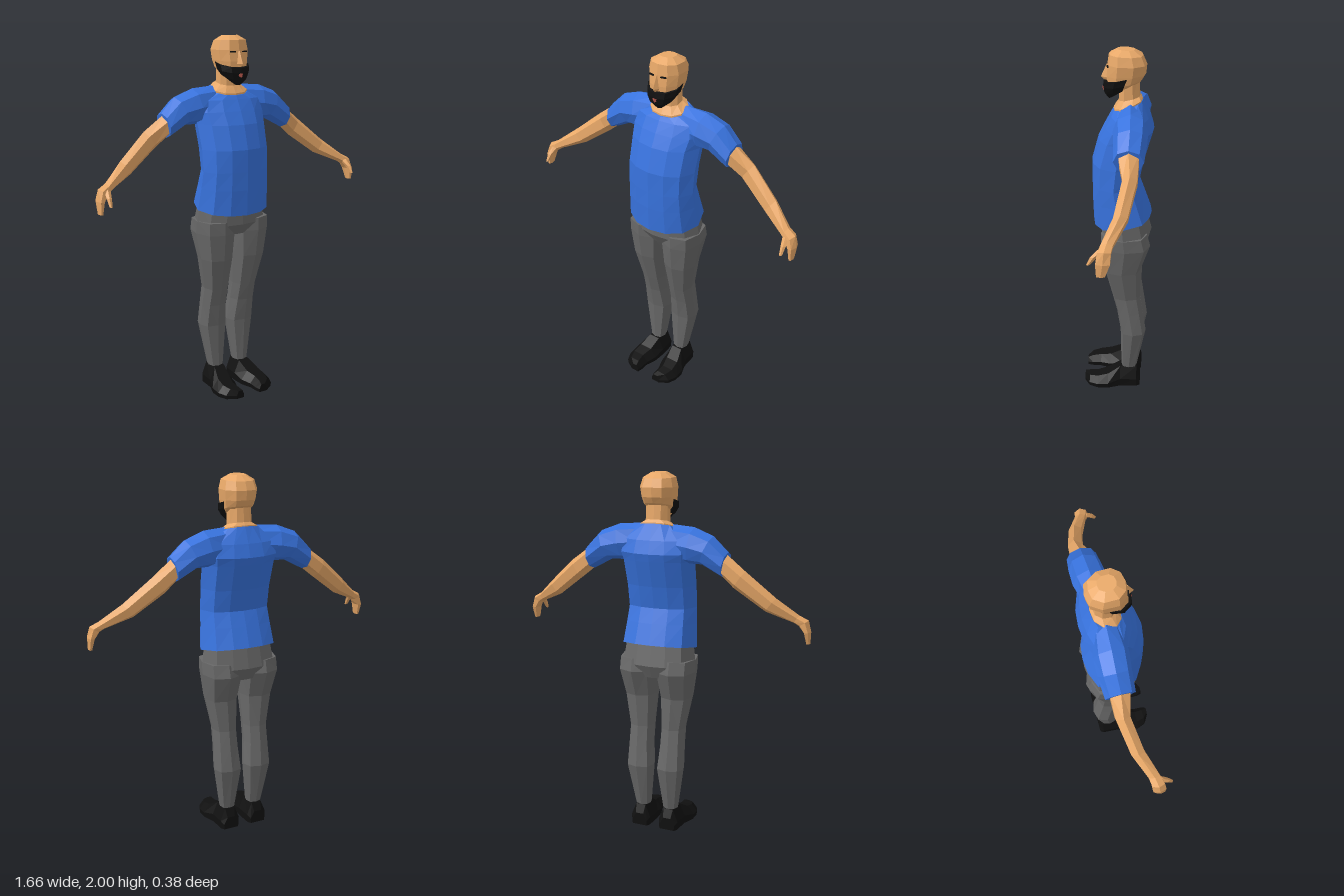
import * as THREE from 'three';

const mat = (color) => new THREE.MeshStandardMaterial({ color, flatShading: true });

// Closed skin through equal-sized rings of [x, y, z], capped at both ends and facing outward.
function loft(rings) {
  const n = rings[0].length, pts = rings.flat(), tris = [];
  rings.slice(1).forEach((_, r) => {
    for (let i = 0; i < n; i++) {
      const a = r * n + i, b = r * n + (i + 1) % n;
      tris.push([a, b, b + n], [a, b + n, a + n]);
    }
  });
  [[0, true], [rings.length - 1, false]].forEach(([r, first]) => {
    const mid = [0, 1, 2].map((k) => rings[r].reduce((s, p) => s + p[k], 0) / n);
    const c = pts.push(mid) - 1;
    for (let i = 0; i < n; i++) {
      const a = r * n + i, b = r * n + (i + 1) % n;
      tris.push(first ? [c, b, a] : [c, a, b]);
    }
  });
  const v = pts.map((p) => new THREE.Vector3(...p));
  const volume = tris.reduce((s, [a, b, c]) => s + v[a].dot(v[b].clone().cross(v[c])), 0);
  if (volume < 0) tris.forEach((t) => t.reverse());
  const indexed = new THREE.BufferGeometry().setFromPoints(v);
  indexed.setIndex(tris.flat());
  const geo = indexed.toNonIndexed();
  geo.computeVertexNormals();
  return geo;
}

// Half outlines as [share of width, share of depth from front to back].
const TORSO = [[0, 0], [0.45, 0.05], [0.82, 0.2], [1, 0.5], [0.8, 0.86], [0.4, 0.97], [0, 1]];
const HEAD = [[0, 0], [0.6, 0.06], [1, 0.28], [1, 0.68], [0.6, 0.95], [0, 1]];
const BEARD = [[0, 0], [0.6, 0.1], [1, 0.5], [0.95, 1], [0, 1]];

// Mirrored level ring; front and back may differ in height.
function bodyRing(outline, [yFront, yBack, w, zFront, zBack]) {
  const half = outline.map(([fx, t]) => [
    fx * w, yFront + (yBack - yFront) * t, zFront + (zBack - zFront) * t]);
  return [...half, ...half.slice(1, -1).reverse().map(([x, y, z]) => [-x, y, z])];
}
const body = (outline, rows) => loft(rows.map((r) => bodyRing(outline, r)));

// Limb ring around a centre: a = half thickness, b = half depth, tilt = downward slope.
function limbRing(sides, [x, y, z, a, b, tilt]) {
  return Array.from({ length: sides }, (_, i) => {
    const q = (i / sides) * Math.PI * 2, u = Math.cos(q) * a;
    return [x + u * Math.sin(tilt), y + u * Math.cos(tilt), z + Math.sin(q) * b];
  });
}

// Level leg ring from inner and outer x and front and back z.
function legRing([y, xIn, xOut, zFront, zBack]) {
  const cx = (xIn + xOut) / 2, cz = (zFront + zBack) / 2;
  return Array.from({ length: 8 }, (_, i) => {
    const q = (i / 8) * Math.PI * 2, k = i % 2 ? 1.08 : 1;
    return [cx + Math.cos(q) * k * (xOut - xIn) / 2, y, cz + Math.sin(q) * k * (zFront - zBack) / 2];
  });
}

// Upright shoe section at depth z.
const shoeRing = ([z, x, w, h]) =>
  [[-0.95, 0], [-1, 0.4], [-0.5, 1], [0.5, 1], [1, 0.4], [0.95, 0]].map(([fx, fy]) => [x + fx * w, h * fy, z]);

export function createModel() {
  const model = new THREE.Group();
  const skin = mat(0xe8a868), shirt = mat(0x3873de), trousers = mat(0x686868);
  const black = mat(0x101010), lips = mat(0xb9584c);
  const add = (name, geo, material) => {
    const mesh = new THREE.Mesh(geo, material);
    mesh.name = name;
    model.add(mesh);
    return mesh;
  };
  const pair = (name, rings, material) => {
    add(name + 'Left', loft(rings), material);
    add(name + 'Right', loft(rings.map((r) => r.map(([x, y, z]) => [-x, y, z]))), material);
  };

  // Shirt
  add('shirtBody', body(TORSO, [
    [1.04, 1.09, 0.215, 0.135, -0.185],
    [1.18, 1.2, 0.205, 0.14, -0.145],
    [1.28, 1.28, 0.2, 0.14, -0.115],
    [1.4, 1.4, 0.2, 0.14, -0.14],
    [1.53, 1.54, 0.205, 0.105, -0.18],
    [1.6, 1.58, 0.215, 0.072, -0.19],
    [1.66, 1.65, 0.2, 0.04, -0.168],
    [1.68, 1.735, 0.11, 0.028, -0.13],
  ]), shirt);
  pair('sleeve', [
    [0.09, 1.635, -0.07, 0.095, 0.07, 0],
    [0.2, 1.625, -0.075, 0.097, 0.09, 0.15],
    [0.29, 1.605, -0.08, 0.082, 0.085, 0.4],
    [0.388, 1.535, -0.077, 0.067, 0.077, 0.2],
  ].map((s) => limbRing(8, s)), shirt);

  // Arms, hands and thumbs
  pair('arm', [
    [0.36, 1.55, -0.075, 0.055, 0.062, 0.35],
    [0.47, 1.465, -0.09, 0.055, 0.042, 0.6],
    [0.63, 1.34, -0.055, 0.046, 0.04, 0.65],
    [0.755, 1.265, 0, 0.025, 0.034, 0.6],
    [0.79, 1.245, 0.01, 0.031, 0.037, 1],
    [0.81, 1.2, 0.015, 0.02, 0.04, 1.5],
    [0.815, 1.135, 0.025, 0.011, 0.024, 1.5],
  ].map((s) => limbRing(6, s)), skin);
  pair('thumb', [
    [0.772, 1.255, 0.02, 0.018, 0.022, 1.2],
    [0.782, 1.22, 0.06, 0.014, 0.017, 1.4],
    [0.785, 1.18, 0.087, 0.008, 0.009, 1.5],
  ].map((s) => limbRing(5, s)), skin);

  // Trousers
  add('hips', body(TORSO, [
    [1.1, 1.12, 0.195, 0.09, -0.145],
    [0.98, 0.97, 0.215, 0.095, -0.18],
    [0.92, 0.9, 0.17, 0.06, -0.15],
  ]), trousers);
  pair('trouserLeg', [
    [1.0, 0.005, 0.215, 0.088, -0.165],
    [0.93, 0.004, 0.215, 0.088, -0.183],
    [0.78, 0.018, 0.193, 0.07, -0.132],
    [0.6, 0.028, 0.16, 0.025, -0.13],
    [0.5, 0.025, 0.163, 0, -0.145],
    [0.37, 0.012, 0.169, -0.02, -0.165],
    [0.12, 0.042, 0.126, -0.025, -0.115],
  ].map(legRing), trousers);

  // Shoes
  pair('shoe', [
    [-0.135, 0.085, 0.045, 0.07],
    [-0.115, 0.085, 0.058, 0.12],
    [-0.02, 0.085, 0.064, 0.12],
    [0.05, 0.1, 0.076, 0.078],
    [0.11, 0.11, 0.066, 0.063],
    [0.16, 0.1, 0.055, 0.055],
    [0.19, 0.078, 0.025, 0.045],
  ].map(shoeRing), black);

  // Neck, spreading to fill the collar
  add('neck', body(HEAD, [
    [1.67, 1.73, 0.1, 0.025, -0.128],
    [1.69, 1.74, 0.1, 0.024, -0.127],
    [1.73, 1.755, 0.062, -0.002, -0.115],
    [1.84, 1.85, 0.06, -0.005, -0.108],
  ]), skin);

  // Head
  add('head', body(HEAD, [
    [1.755, 1.815, 0.05, 0.042, -0.09],
    [1.8, 1.84, 0.077, 0.06, -0.125],
    [1.86, 1.87, 0.086, 0.062, -0.143],
    [1.92, 1.92, 0.092, 0.056, -0.148],
    [1.972, 1.965, 0.08, 0.048, -0.128],
    [1.996, 1.992, 0.04, 0.005, -0.085],
  ]), skin);
  add('nose', loft([
    [[-0.008, 1.915, 0.05], [0, 1.915, 0.06], [0.008, 1.915, 0.05]],
    [[-0.02, 1.848, 0.05], [0, 1.848, 0.09], [0.02, 1.848, 0.05]],
    [[-0.014, 1.833, 0.05], [0, 1.833, 0.074], [0.014, 1.833, 0.05]],
  ]), skin);
  [['Left', 1], ['Right', -1]].forEach(([side, s]) => {
    const eye = add('eye' + side, new THREE.BoxGeometry(0.03, 0.007, 0.012), black);
    eye.position.set(s * 0.036, 1.911, 0.05);
    eye.rotation.y = s * 0.2;
  });

  // Beard and mouth
  add('beard', body(BEARD, [
    [1.735, 1.77, 0.03, 0.05, -0.005],
    [1.765, 1.79, 0.066, 0.073, -0.025],
    [1.8, 1.82, 0.086, 0.079, -0.035],
    [1.828, 1.858, 0.09, 0.076, -0.05],
  ]), black);
  add('mouth', loft([
    [[-0.024, 1.798, 0.07], [0, 1.798, 0.082], [0.024, 1.798, 0.07]],
    [[-0.014, 1.782, 0.07], [0, 1.778, 0.08], [0.014, 1.782, 0.07]],
  ]), lips);

  return model;
}
